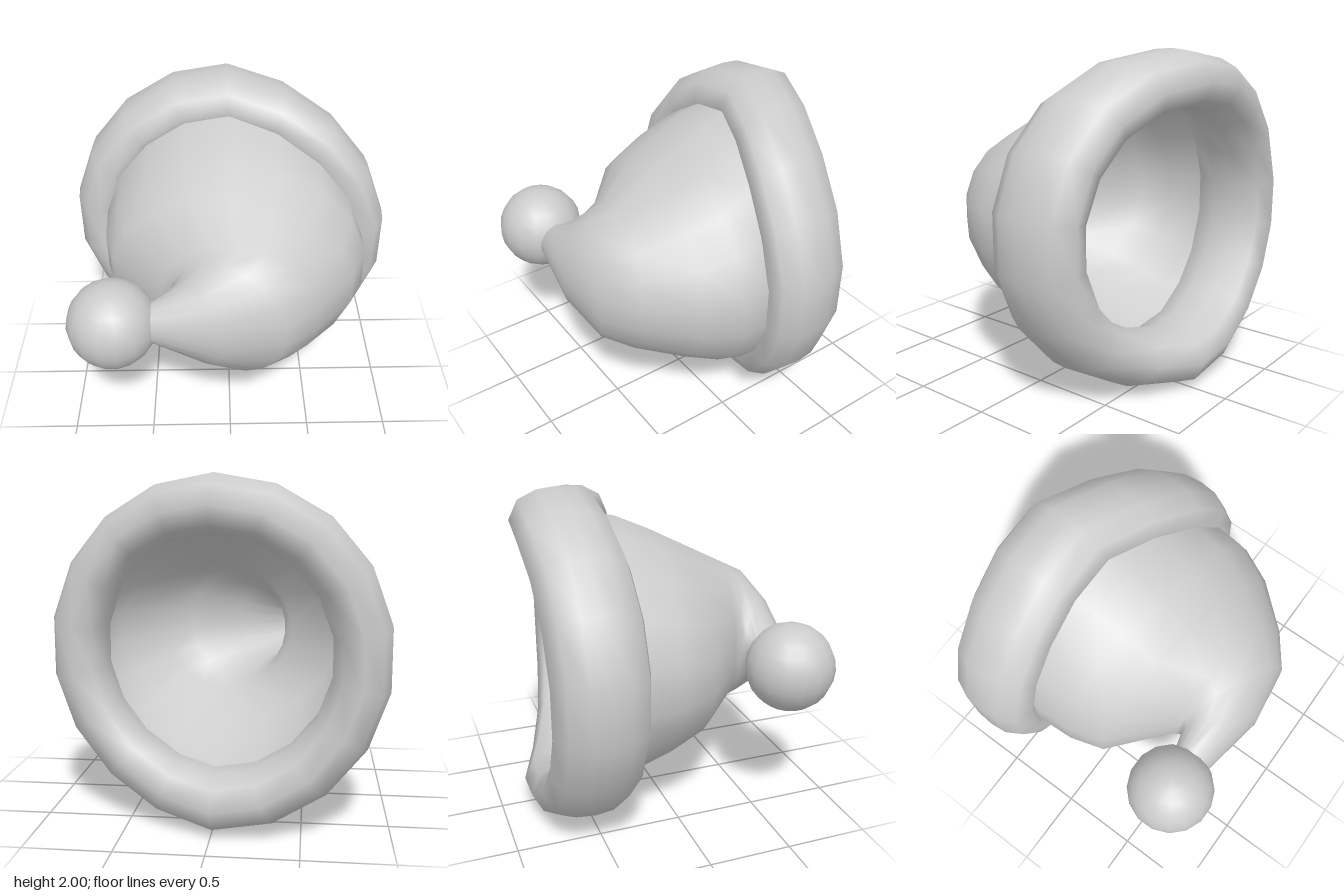
import * as THREE from 'three';

const SIDES = 18;

// Skin a stack of 18-sided rings; point(i, angle) gives [x, y, z].
function loft(rings, point, closed) {
  const pos = [], index = [];
  for (let i = 0; i < rings; i++)
    for (let j = 0; j < SIDES; j++) pos.push(...point(i, ((j + 0.5) / SIDES) * Math.PI * 2));
  for (let i = 0; i < (closed ? rings : rings - 1); i++) {
    for (let j = 0; j < SIDES; j++) {
      const k = (j + 1) % SIDES, n = ((i + 1) % rings) * SIDES;
      const a = i * SIDES + j, b = i * SIDES + k, c = n + j, d = n + k;
      index.push(a, b, d, a, d, c);
    }
  }
  const g = new THREE.BufferGeometry();
  g.setAttribute('position', new THREE.Float32BufferAttribute(pos, 3));
  g.setIndex(index);
  g.computeVertexNormals();
  return g;
}

// Bend of the brim: z of its centre line for a given x.
const BEND = [[-1, -0.55], [-0.25, -0.585], [0, -0.57], [0.5, -0.37], [0.75, -0.3], [1, -0.26]];
function brimZ(x) {
  let i = 0;
  while (i < BEND.length - 2 && x > BEND[i + 1][0]) i++;
  const [x0, z0] = BEND[i], [x1, z1] = BEND[i + 1];
  return z0 + ((z1 - z0) * (x - x0)) / (x1 - x0);
}

export function createModel() {
  const group = new THREE.Group();
  const material = new THREE.MeshStandardMaterial({ color: 0xcccccc, side: THREE.DoubleSide });
  const add = (name, geometry) => {
    const mesh = new THREE.Mesh(geometry, material);
    mesh.name = name;
    group.add(mesh);
    return mesh;
  };

  // Thick rolled brim: [radius, z offset] cross-section swept round and bent
  const roll = [[1, 0], [0.99, 0.11], [0.93, 0.22], [0.83, 0.265], [0.73, 0.21], [0.68, 0.08],
    [0.67, -0.08], [0.72, -0.22], [0.83, -0.275], [0.94, -0.22], [0.99, -0.11]];
  add('brim', loft(roll.length, (i, a) => {
    const [r, dz] = roll[i];
    const x = r * Math.cos(a);
    return [x, 1 + r * Math.sin(a), brimZ(x) + dz];
  }, true));

  // Hollow cone folding over to -x: [left x, left z, right x, right z, half height]
  const folds = [
    [-0.8, -0.58, 0.83, -0.3, 0.85],
    [-0.79, -0.3, 0.84, -0.04, 0.78],
    [-0.78, -0.08, 0.84, 0.13, 0.69],
    [-0.72, 0.13, 0.74, 0.34, 0.58],
    [-0.41, 0.39, 0.51, 0.6, 0.44],
    [-0.37, 0.44, 0.31, 0.75, 0.385],
    [-0.365, 0.47, -0.04, 0.8, 0.27],
    [-0.44, 0.49, -0.43, 0.735, 0.125],
    [-0.55, 0.52, -0.55, 0.71, 0.1],
  ];
  add('cone', loft(folds.length, (i, a) => {
    const [lx, lz, rx, rz, h] = folds[i];
    const t = (1 + Math.cos(a)) / 2;
    return [lx + (rx - lx) * t, 1 + h * Math.sin(a), lz + (rz - lz) * t];
  }, false));

  // Bobble on the tip
  const bobble = add('bobble', new THREE.SphereGeometry(0.26, 16, 12));
  bobble.position.set(-0.675, 1, 0.615);
  bobble.rotation.y = Math.PI / 16;

  return group;
}
